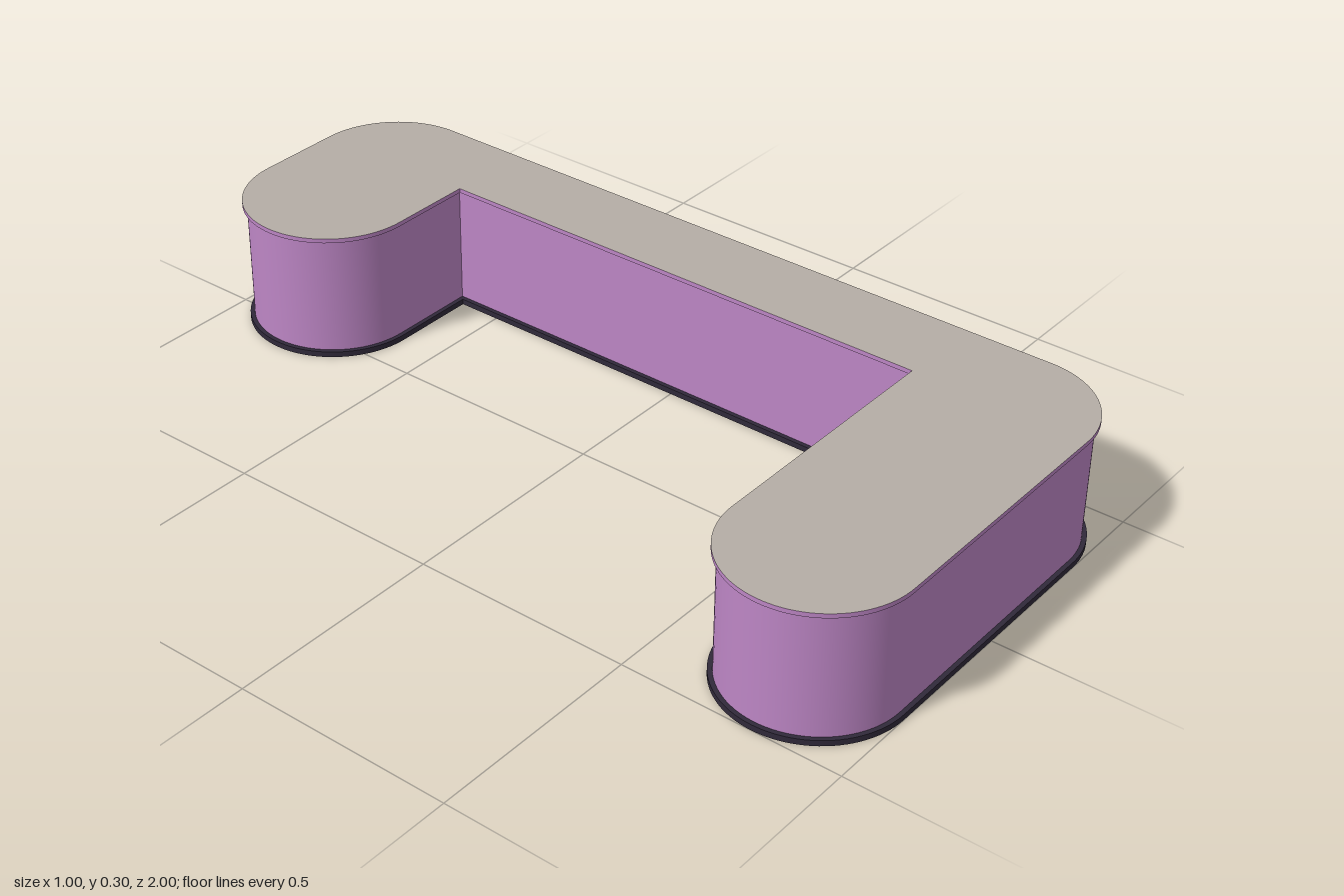
import * as THREE from 'three';
import { toCreasedNormals } from 'three/addons/utils/BufferGeometryUtils.js';

const material = (color) => new THREE.MeshStandardMaterial({ color, side: THREE.DoubleSide });

// Counter plan (shape y becomes z), drawn inwards by d
function trace(path, d) {
  const r = 0.2 - d, q = Math.PI / 2;
  path.moveTo(-0.3, 0.8 + r);
  path.absarc(-0.3, 0.8, r, q, 3 * q, false); // end of the long arm
  path.lineTo(0.3 + d, 0.6 + d);
  path.lineTo(0.3 + d, -0.6 - d);
  path.lineTo(0.1, -0.8 + r);
  path.absarc(0.1, -0.8, r, q, 3 * q, false); // end of the short arm
  path.absarc(0.3, -0.8, r, -q, 0, false); // outer corners
  path.absarc(0.3, 0.8, r, 0, q, false);
  path.closePath();
  return path;
}

// Extrude a plan downwards from the height top to bottom
function extrude(shape, bottom, top) {
  const geometry = new THREE.ExtrudeGeometry(shape, {
    depth: top - bottom, bevelEnabled: false, curveSegments: 24,
  });
  geometry.rotateX(Math.PI / 2).translate(0, top, 0);
  return toCreasedNormals(geometry, 0.6);
}

// Keep only the upright sides of an extrusion
function sidesOnly(geometry) {
  const { start, count } = geometry.groups[1];
  const sides = new THREE.BufferGeometry();
  for (const name of ['position', 'normal']) {
    const values = geometry.getAttribute(name).array.slice(start * 3, (start + count) * 3);
    sides.setAttribute(name, new THREE.BufferAttribute(values, 3));
  }
  return sides;
}

export function createModel() {
  const group = new THREE.Group();
  group.name = 'counter';
  const purple = material(0xbd86c5), stone = material(0xb5ada6), dark = material(0x30293a);

  const add = (name, geometry, mat) => {
    const mesh = new THREE.Mesh(geometry, mat);
    mesh.name = name;
    group.add(mesh);
  };

  // Worktop slab with a coloured edge
  add('worktop', extrude(trace(new THREE.Shape(), 0), 0.29, 0.3), [stone, purple]);

  // Thin front panel all round, open underneath
  add('panel', sidesOnly(extrude(trace(new THREE.Shape(), 0.01), 0, 0.29)), purple);

  // Dark skirting strip around the foot of the panel
  const ring = trace(new THREE.Shape(), 0);
  ring.holes.push(trace(new THREE.Path(), 0.011));
  add('skirting', extrude(ring, 0, 0.013), dark);

  return group;
}
